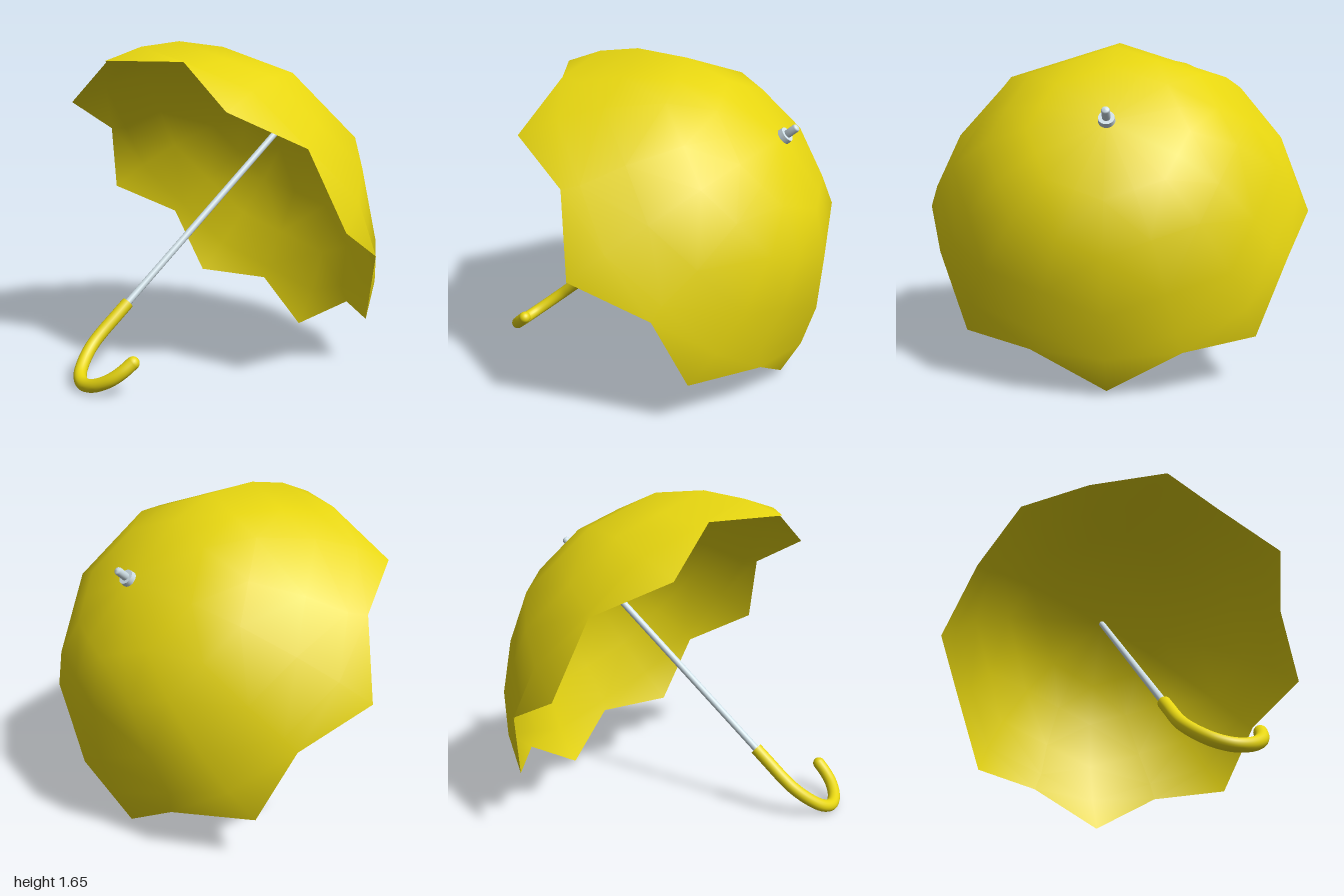
import * as THREE from 'three';

const yellow = new THREE.MeshStandardMaterial({ color: 0xe6d510 });
const fabric = new THREE.MeshStandardMaterial({ color: 0xe6d510, side: THREE.DoubleSide });
const metal = new THREE.MeshStandardMaterial({ color: 0xcfdfe6 });

function part(name, geometry, material, parent) {
  const mesh = new THREE.Mesh(geometry, material);
  mesh.name = name;
  parent.add(mesh);
  return mesh;
}

// Eight ribs follow the profile; panels are straight between them and scalloped at the rim
function canopyGeometry() {
  const apex = 0.78, ribs = 8, cols = ribs * 2;
  const profile = [[0.38, 0.71], [0.6, 0.595], [0.8, 0.395], [0.923, 0.2], [1, 0]];
  const valley = [0.932, 0.155];
  const positions = [0, apex, 0], index = [];
  profile.forEach(([r, h], ring) => {
    const rim = ring === profile.length - 1;
    for (let c = 0; c < cols; c++) {
      const a = (c / cols) * Math.PI * 2, middle = c % 2 === 1;
      let radius = r, height = h;
      if (middle && rim) [radius, height] = valley;
      else if (middle) radius = r * Math.cos(Math.PI / ribs);
      positions.push(radius * Math.cos(a), height, radius * Math.sin(a));
    }
  });
  const at = (ring, c) => 1 + ring * cols + (c % cols);
  for (let c = 0; c < cols; c++) {
    index.push(0, at(0, c + 1), at(0, c));
    for (let k = 0; k < profile.length - 1; k++) {
      const a = at(k, c), b = at(k, c + 1), d = at(k + 1, c), e = at(k + 1, c + 1);
      // diagonals mirror about each rib
      if (c % 2 === 0) index.push(a, b, e, a, e, d);
      else index.push(a, b, d, b, e, d);
    }
  }
  const g = new THREE.BufferGeometry();
  g.setAttribute('position', new THREE.Float32BufferAttribute(positions, 3));
  g.setIndex(index);
  g.computeVertexNormals();
  return g;
}

export function createModel() {
  const model = new THREE.Group();
  model.name = 'umbrella';

  // Built upright about its shaft, then leaned over
  const body = new THREE.Group();
  body.name = 'leaningUmbrella';
  body.position.set(0.04, 0.785, 0);
  body.rotation.z = -THREE.MathUtils.degToRad(50);
  model.add(body);

  part('canopy', canopyGeometry(), fabric, body);

  // Shaft from inside the grip to the crown
  const shaft = part('shaft', new THREE.CylinderGeometry(0.018, 0.018, 1.52, 20), metal, body);
  shaft.position.y = 0.03;

  // Collar and tip above the crown
  const collar = part('collar', new THREE.CylinderGeometry(0.038, 0.04, 0.026, 24), metal, body);
  collar.position.y = 0.795;
  const tip = [[0, 0.78], [0.02, 0.78], [0.02, 0.862], [0.016, 0.87], [0, 0.873]];
  part('ferrule', new THREE.LatheGeometry(tip.map(p => new THREE.Vector2(...p)), 20), metal, body);

  // Hooked handle, curling toward the front
  const path = [[-0.7, 0], [-0.8, 0], [-0.9, 0], [-0.98, 0.01], [-1.07, 0.048], [-1.14, 0.105],
    [-1.168, 0.175], [-1.15, 0.255], [-1.095, 0.325], [-1.035, 0.36], [-0.97, 0.378]];
  const curve = new THREE.CatmullRomCurve3(path.map(([y, z]) => new THREE.Vector3(0, y, z)));
  const handle = new THREE.Group();
  handle.name = 'handle';
  body.add(handle);
  part('handleHook', new THREE.TubeGeometry(curve, 80, 0.032, 20), yellow, handle);
  part('handleEnd', new THREE.SphereGeometry(0.032, 20, 14), yellow, handle).position.set(0, -0.97, 0.378);
  const rim = part('handleTop', new THREE.CircleGeometry(0.032, 20), yellow, handle);
  rim.rotation.x = -Math.PI / 2;
  rim.position.y = -0.7;

  return model;
}
